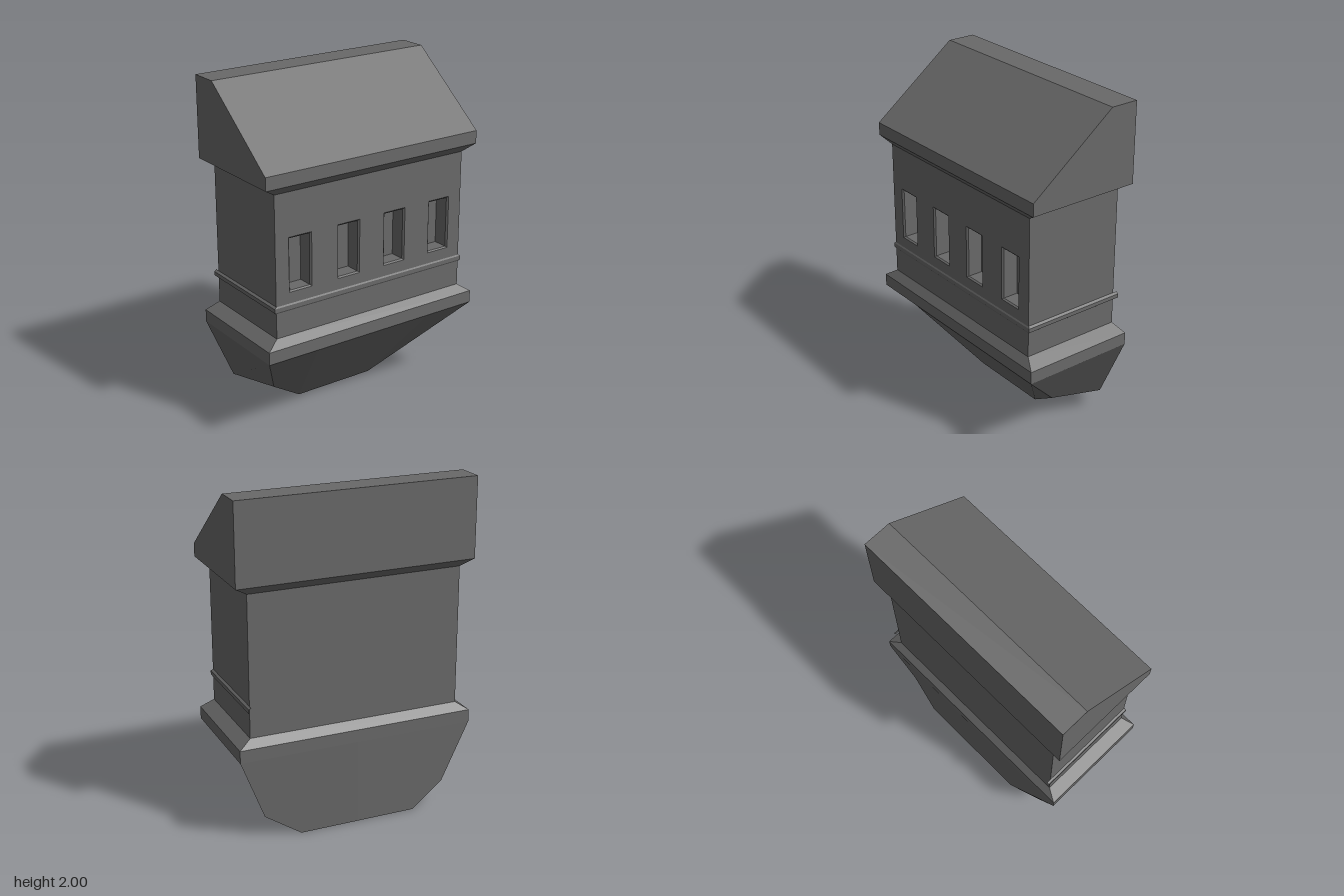
import * as THREE from 'three';

const material = new THREE.MeshStandardMaterial({ color: 0x696969 });

// Half sizes of the overhanging parts and of the wall
const OUT_X = 0.347, OUT_Z = 0.722, WALL_X = 0.309, WALL_Z = 0.647;

function add(group, name, geometry, x = 0, y = 0, z = 0) {
  const mesh = new THREE.Mesh(geometry, material);
  mesh.name = name;
  mesh.position.set(x, y, z);
  group.add(mesh);
}

// Geometry from convex polygons, each with one flat normal
function polygons(faces) {
  const positions = [], normals = [];
  for (const face of faces) {
    const p = face.map((c) => new THREE.Vector3(...c));
    const normal = new THREE.Vector3();
    p.forEach((a, i) => normal.add(a.clone().cross(p[(i + 1) % p.length])));
    normal.normalize();
    for (let i = 1; i < p.length - 1; i++) {
      for (const v of [p[0], p[i], p[i + 1]]) {
        positions.push(...v);
        normals.push(...normal);
      }
    }
  }
  const geometry = new THREE.BufferGeometry();
  geometry.setAttribute('position', new THREE.Float32BufferAttribute(positions, 3));
  geometry.setAttribute('normal', new THREE.Float32BufferAttribute(normals, 3));
  return geometry;
}

// Faces between successive rings, bottom ring first; closed rings also get caps
function loft(rings, closed = true) {
  const n = rings[0].length, faces = [];
  for (let r = 0; r < rings.length - 1; r++) {
    for (let i = 0; i < (closed ? n : n - 1); i++) {
      const j = (i + 1) % n;
      faces.push([rings[r][i], rings[r + 1][i], rings[r + 1][j], rings[r][j]]);
    }
  }
  if (closed) faces.push(rings[0], [...rings[rings.length - 1]].reverse());
  return polygons(faces);
}

// Rectangular ring at height y, starting and ending at the back
const rect = (y, x, z, back = -x) => [[back, y, -z], [x, y, -z], [x, y, z], [back, y, z]];

// Corners of a window opening centred on z = c
const opening = (c, w, y0, y1) => [[c - w / 2, y0], [c - w / 2, y1], [c + w / 2, y1], [c + w / 2, y0]];
const outer = (c) => opening(c, 0.15, 0.893, 1.216);
const inner = (c) => opening(c, 0.132, 0.9, 1.206);
const windows = [-0.485, -0.16, 0.16, 0.485];

// Wall layer facing +x with a row of openings
function wallLayer(hole, depth) {
  const toPoints = (list) => list.map(([a, b]) => new THREE.Vector2(-a, b));
  const shape = new THREE.Shape(toPoints(opening(0, 2 * WALL_Z, 0.63, 1.48)));
  for (const c of windows) shape.holes.push(new THREE.Path(toPoints(hole(c))));
  return new THREE.ExtrudeGeometry(shape, { depth, bevelEnabled: false }).rotateY(Math.PI / 2);
}

// Corbel faces: the +z half is mirrored, front and bottom span both halves
function corbel() {
  const T = [OUT_X, 0.51, 0.4], C = [OUT_X, 0.51, OUT_Z], K = [-OUT_X, 0.51, OUT_Z];
  const M = [-0.03, 0.13, 0.46], N = [-0.31, 0.13, 0.57];
  const B = [-0.065, 0, 0.26], D = [-OUT_X, 0, 0.36];
  const flip = ([x, y, z]) => [x, y, -z];
  const half = [
    [T, C, M, B], [C, K, N, M], [M, N, D, B],
    [K, [-OUT_X, 0.51, 0], [-OUT_X, 0, 0], D, N],
  ];
  return polygons([
    ...half, ...half.map((face) => face.map(flip).reverse()),
    [T, B, flip(B), flip(T)], [B, D, flip(D), flip(B)],
  ]);
}

export function createModel() {
  const model = new THREE.Group();
  model.name = 'bayTurret';

  // Tapered corbel, flat against the back
  add(model, 'corbel', corbel());

  // Base ledge with sloped top
  add(model, 'baseLedge', loft([
    rect(0.51, OUT_X, OUT_Z), rect(0.585, OUT_X, OUT_Z), rect(0.635, WALL_X, WALL_Z),
  ]));

  // Body core with the window wall in front of it
  add(model, 'body', new THREE.BoxGeometry(0.209 + WALL_X, 0.85, 2 * WALL_Z), (0.209 - WALL_X) / 2, 1.055, 0);
  add(model, 'windowWall', wallLayer(inner, 0.09), 0.209);
  add(model, 'wallFace', wallLayer(outer, 0.01), 0.299);

  // Splayed edges round the openings
  const splays = [];
  for (const c of windows) {
    const o = outer(c), n = inner(c);
    for (let i = 0; i < 4; i++) {
      const j = (i + 1) % 4;
      splays.push([[WALL_X, o[i][1], o[i][0]], [WALL_X, o[j][1], o[j][0]],
        [0.299, n[j][1], n[j][0]], [0.299, n[i][1], n[i][0]]]);
    }
  }
  add(model, 'windowSplays', polygons(splays));

  // String course round the front and both ends
  add(model, 'stringCourse', loft([
    rect(0.784, 0.308, WALL_Z, -0.335), rect(0.794, 0.314, 0.66, -0.335),
    rect(0.818, 0.314, 0.66, -0.335), rect(0.828, 0.308, WALL_Z, -0.335),
  ], false));

  // Cornice flaring out below the roof
  add(model, 'cornice', loft([rect(1.475, WALL_X, WALL_Z), rect(1.52, OUT_X, OUT_Z)]));

  // Lean-to roof
  const profile = new THREE.Shape([
    new THREE.Vector2(-OUT_X, 1.52), new THREE.Vector2(OUT_X, 1.52), new THREE.Vector2(OUT_X, 1.597),
    new THREE.Vector2(-0.175, 2), new THREE.Vector2(-OUT_X, 2),
  ]);
  add(model, 'roof', new THREE.ExtrudeGeometry(profile, { depth: 2 * OUT_Z, bevelEnabled: false }), 0, 0, -OUT_Z);

  return model;
}
